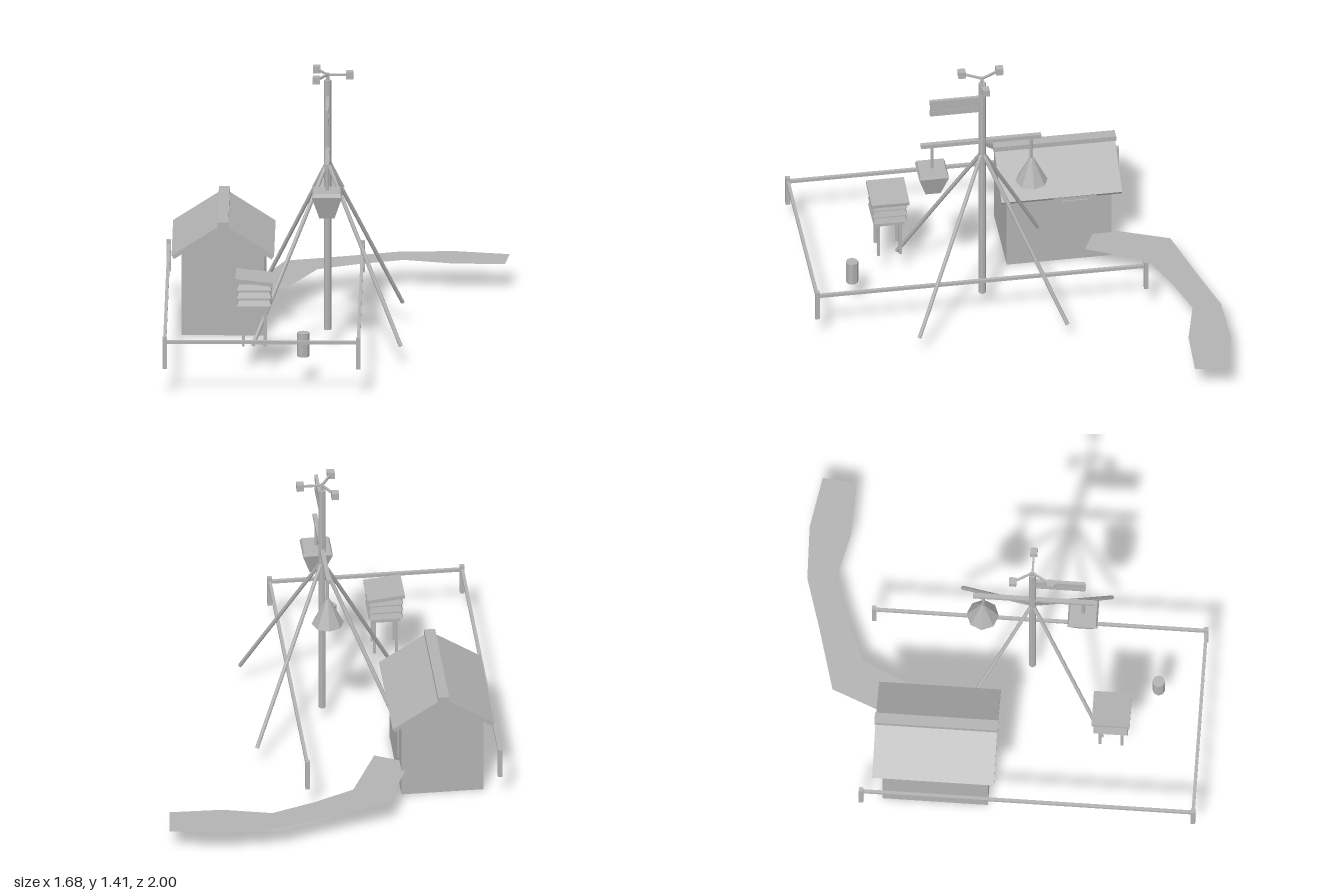
import * as THREE from 'three';

const grey = new THREE.MeshStandardMaterial({ color: 0xb2b2b2, flatShading: true });
grey.name = 'plain grey';
const greySheet = new THREE.MeshStandardMaterial({ color: 0xb2b2b2, flatShading: true, side: THREE.DoubleSide });
greySheet.name = 'plain grey sheet';

function add(parent, name, geometry, x = 0, y = 0, z = 0, material = grey) {
  const mesh = new THREE.Mesh(geometry, material);
  mesh.name = name;
  mesh.position.set(x, y, z);
  parent.add(mesh);
  return mesh;
}

// Box given by its two opposite corners
function box(parent, name, [x0, y0, z0], [x1, y1, z1]) {
  return add(parent, name, new THREE.BoxGeometry(x1 - x0, y1 - y0, z1 - z0),
    (x0 + x1) / 2, (y0 + y1) / 2, (z0 + z1) / 2);
}

// Round bar between two points
function bar(parent, name, a, b, radius, sides = 8) {
  const from = new THREE.Vector3(...a), to = new THREE.Vector3(...b);
  const dir = to.clone().sub(from);
  const mesh = add(parent, name, new THREE.CylinderGeometry(radius, radius, dir.length(), sides));
  mesh.position.copy(from).add(to).multiplyScalar(0.5);
  mesh.quaternion.setFromUnitVectors(new THREE.Vector3(0, 1, 0), dir.normalize());
  return mesh;
}

// Square frustum with flat sides along x and z
function frustum(topWidth, bottomWidth, height) {
  return new THREE.CylinderGeometry(topWidth / Math.SQRT2, bottomWidth / Math.SQRT2, height, 4).rotateY(Math.PI / 4);
}

function group(parent, name) {
  const g = new THREE.Group();
  g.name = name;
  parent.add(g);
  return g;
}

function buildHut(root) {
  const hut = group(root, 'hut');
  const cx = -0.557, half = 0.203, z0 = -0.55, z1 = -0.03;

  // Walls with gables
  const s = new THREE.Shape([[-half, 0], [half, 0], [half, 0.425], [0, 0.56], [-half, 0.425]]
    .map(([x, y]) => new THREE.Vector2(x, y)));
  add(hut, 'walls', new THREE.ExtrudeGeometry(s, { depth: z1 - z0, bevelEnabled: false }), cx, 0, z0);

  // Two roof slopes and the ridge cap
  for (const side of [-1, 1]) {
    const slope = new THREE.Shape([[0, 0.56], [0, 0.582], [side * 0.252, 0.418], [side * 0.24, 0.4]]
      .map(([x, y]) => new THREE.Vector2(x, y)));
    add(hut, 'roofSlope', new THREE.ExtrudeGeometry(slope, { depth: 0.6, bevelEnabled: false }), cx, 0, -0.597);
  }
  box(hut, 'ridgeCap', [cx - 0.027, 0.565, -0.602], [cx + 0.027, 0.591, 0.008]);

  // Door, window and lintel on the left wall
  box(hut, 'door', [-0.356, 0.14, -0.433], [-0.348, 0.36, -0.305]);
  box(hut, 'window', [-0.356, 0.28, -0.21], [-0.348, 0.38, -0.09]);
  box(hut, 'doorLintel', [-0.36, 0.402, -0.47], [-0.308, 0.42, -0.255]);
}

function buildMast(root) {
  const mast = group(root, 'mast');
  const x = -0.04, z = 0.14;
  bar(mast, 'pole', [x, 0.085, z], [x, 1.365, z], 0.018);

  // Four splayed stays
  for (const sx of [-1, 1]) for (const sz of [-1, 1])
    bar(mast, 'stay', [x, 0.945, z], [x + sx * 0.364, 0.112, z + sz * 0.368], 0.01);

  // Wind speed cups
  const rotor = group(mast, 'windCups');
  rotor.position.set(x, 1.393, z);
  bar(rotor, 'spindle', [0, -0.03, 0], [0, 0.008, 0], 0.008);
  for (let i = 0; i < 3; i++) {
    const arm = group(rotor, 'cupArm');
    arm.rotation.y = i * Math.PI * 2 / 3;
    box(arm, 'rod', [0, -0.005, -0.005], [0.1, 0.005, 0.005]);
    const cup = box(arm, 'cup', [0.09, -0.018, -0.018], [0.126, 0.018, 0.018]);
    cup.rotation.y = -arm.rotation.y;
  }

  // Wind vane of three slats
  for (let i = 0; i < 3; i++) {
    const w = i === 1 ? 0.006 : 0.008;
    box(mast, 'vaneSlat', [x - w, 1.195 + i * 0.03, 0.15], [x + w, 1.225 + i * 0.03, 0.4]);
  }

  // Cross arm with its hangers
  box(mast, 'crossArm', [x - 0.011, 1.002, -0.152], [x + 0.011, 1.023, 0.445]);
  bar(mast, 'bucketHanger', [x, 0.865, 0.39], [x, 1.01, 0.39], 0.008);
  bar(mast, 'coneHanger', [x, 0.865, -0.102], [x, 1.01, -0.102], 0.008);

  // Square rain bucket with a narrowed rim
  add(mast, 'bucket', frustum(0.148, 0.075, 0.115), x, 0.8, 0.39);
  add(mast, 'bucketRim', frustum(0.132, 0.148, 0.018), x, 0.8665, 0.39);

  // Cone shade
  add(mast, 'coneShade', new THREE.CylinderGeometry(0.01, 0.08, 0.14, 8), x, 0.813, -0.105);
}

function buildScreen(root) {
  const screen = group(root, 'instrumentScreen');
  const x = -0.395, z = 0.555;
  for (const sx of [-1, 1]) for (const sz of [-1, 1])
    box(screen, 'leg', [x + sx * 0.054 - 0.007, 0.14, z + sz * 0.054 - 0.007],
      [x + sx * 0.054 + 0.007, 0.34, z + sz * 0.054 + 0.007]);
  box(screen, 'core', [x - 0.073, 0.33, z - 0.073], [x + 0.073, 0.468, z + 0.073]);

  // Flared louvres
  for (let i = 0; i < 3; i++)
    add(screen, 'louvre', frustum(0.15, 0.17, 0.026), x, 0.367 + i * 0.041, z);
  const lid = box(screen, 'lid', [x - 0.093, 0.467, z - 0.094], [x + 0.093, 0.486, z + 0.094]);
  lid.rotation.z = -0.11;
}

function buildFence(root) {
  const fence = group(root, 'fence');
  const xs = [-0.83, 0.122], zs = [-0.65, 0.985], r = 0.008;
  for (const x of xs) {
    for (const z of zs) box(fence, 'post', [x - 0.011, 0.14, z - 0.011], [x + 0.011, 0.3, z + 0.011]);
    box(fence, 'sideRail', [x - r, 0.267, zs[0]], [x + r, 0.283, zs[1]]);
  }
  box(fence, 'frontRail', [xs[0], 0.267, zs[1] - r], [xs[1], 0.283, zs[1] + r]);
}

function buildPath(root) {
  // Flat bent strip leading away from the hut door
  const outline = [[-0.40, -0.48], [-0.26, -0.83], [0.05, -0.915], [0.31, -0.993], [0.58, -1.0], [0.84, -0.953],
    [0.82, -0.785], [0.56, -0.793], [0.32, -0.85], [0.1, -0.777], [-0.1, -0.688], [-0.236, -0.4]];
  const s = new THREE.Shape(outline.map(([x, z]) => new THREE.Vector2(x, -z)));
  add(root, 'path', new THREE.ShapeGeometry(s).rotateX(-Math.PI / 2), 0, 0.14, 0, greySheet);
}

export function createModel() {
  const root = new THREE.Group();
  root.name = 'weatherStation';
  buildHut(root);
  buildMast(root);
  buildScreen(root);
  buildFence(root);
  buildPath(root);
  // Small rain gauge standing by the fence
  bar(root, 'rainGauge', [-0.152, 0.14, 0.77], [-0.152, 0.26, 0.77], 0.031);
  return root;
}
